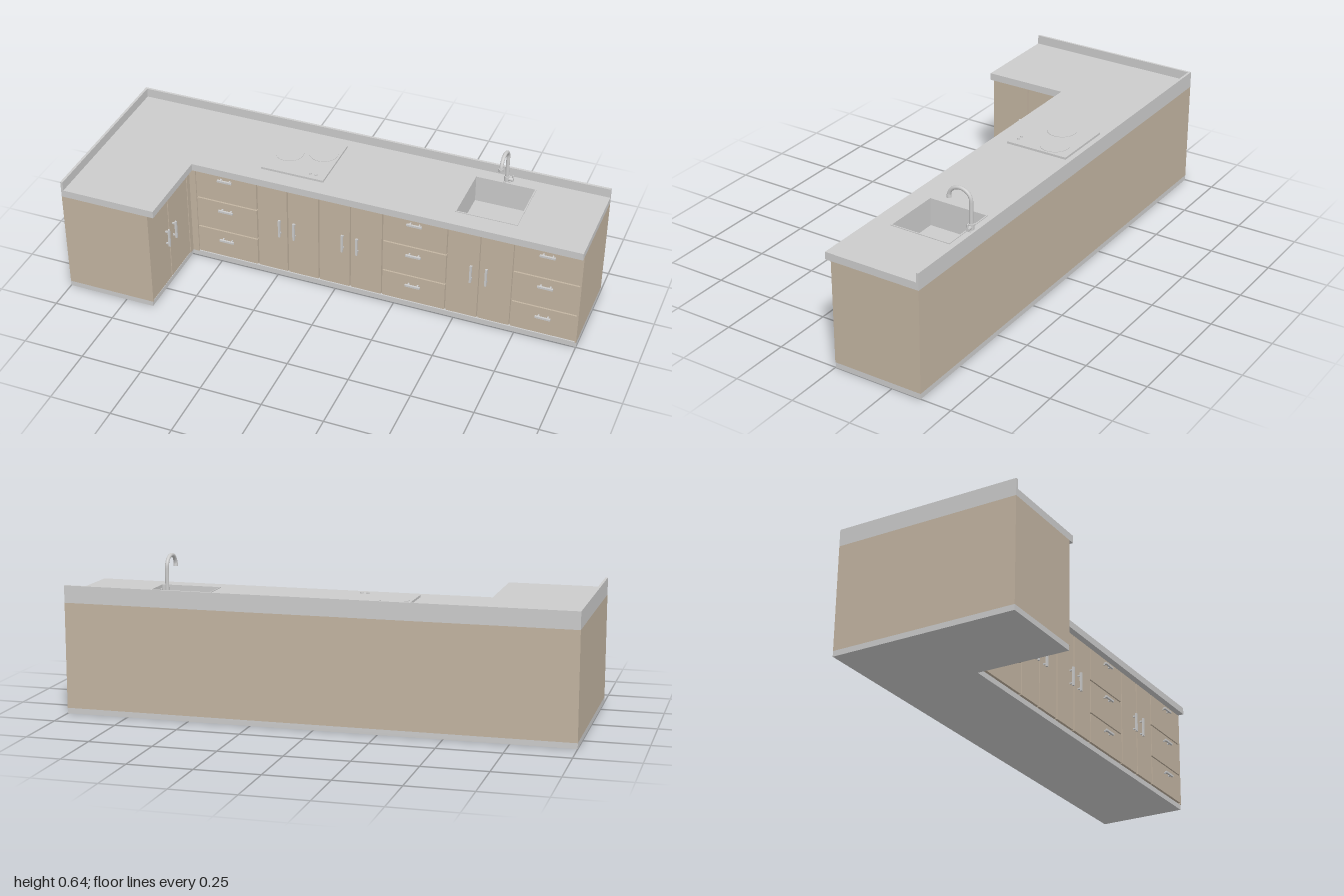
import * as THREE from 'three';

const grey = new THREE.MeshStandardMaterial({ color: 0xcccccc });
const wood = new THREE.MeshStandardMaterial({ color: 0xc2b4a1 });

function add(parent, name, geometry, material = grey) {
  const mesh = new THREE.Mesh(geometry, material);
  mesh.name = name;
  parent.add(mesh);
  return mesh;
}

// Box given by its limits on each axis
function box(parent, name, [x0, x1], [y0, y1], [z0, z1], material) {
  const mesh = add(parent, name, new THREE.BoxGeometry(x1 - x0, y1 - y0, z1 - z0), material);
  mesh.position.set((x0 + x1) / 2, (y0 + y1) / 2, (z0 + z1) / 2);
  return mesh;
}

function cylinder(parent, name, radius, height, x, y, z, segments = 32) {
  const mesh = add(parent, name, new THREE.CylinderGeometry(radius, radius, height, segments));
  mesh.position.set(x, y, z);
  return mesh;
}

const sink = { x0: 0.47, x1: 0.72, z0: -0.31, z1: -0.055 };

// L-shaped slab; legX and frontZ are the inner faces of the two runs
function lSlab(parent, name, legX, frontZ, y0, y1, material, withHole) {
  const toPoints = list => list.map(([x, z]) => new THREE.Vector2(x, -z));
  const shape = new THREE.Shape(toPoints([
    [-1, -0.373], [-1, 0.373], [legX, 0.373], [legX, frontZ], [1, frontZ], [1, -0.373],
  ]));
  if (withHole) {
    const { x0, x1, z0, z1 } = sink;
    shape.holes.push(new THREE.Path(toPoints([[x0, z0], [x1, z0], [x1, z1], [x0, z1]])));
  }
  const geometry = new THREE.ExtrudeGeometry(shape, { depth: y1 - y0, bevelEnabled: false });
  geometry.rotateX(-Math.PI / 2);
  add(parent, name, geometry, material).position.y = y0;
}

// Bar handle on two posts, facing +z from its origin
function handle(parent, x, y, length, vertical) {
  const group = new THREE.Group();
  group.name = 'handle';
  const half = length / 2;
  box(group, 'handleBar', [-half, half], [-0.004, 0.004], [0.011, 0.019]);
  for (const side of [-1, 1]) {
    const px = side * (half - 0.012);
    box(group, 'handlePost', [px - 0.003, px + 0.003], [-0.003, 0.003], [0, 0.012]);
  }
  group.position.set(x, y, 0);
  if (vertical) group.rotation.z = Math.PI / 2;
  parent.add(group);
}

const GAP = 0.003;
const BOTTOM = 0.026;
const TOP = 0.44;

function panel(parent, name, x0, x1, y0, y1) {
  box(parent, name, [x0 + GAP, x1 - GAP], [y0 + GAP, y1 - GAP], [-0.014, 0], wood);
}

// Two doors with handles beside their meeting edge
function doorPair(parent, x0, mid, x1) {
  panel(parent, 'leftHandDoor', x0, mid, BOTTOM, TOP);
  panel(parent, 'rightHandDoor', mid, x1, BOTTOM, TOP);
  for (const side of [-1, 1]) handle(parent, mid + side * 0.031, 0.245, 0.08, true);
}

function drawerStack(parent, x0, x1) {
  const levels = [BOTTOM, 0.154, 0.297, TOP];
  const handleHeights = [0.115, 0.262, 0.41];
  handleHeights.forEach((y, i) => {
    panel(parent, 'drawerFront', x0, x1, levels[i], levels[i + 1]);
    handle(parent, (x0 + x1) / 2, y, 0.062, false);
  });
}

export function createModel() {
  const model = new THREE.Group();
  model.name = 'kitchenCounter';

  // Plinth, carcass and worktop
  lSlab(model, 'plinth', -0.633, -0.003, 0, 0.022, grey, false);
  lSlab(model, 'carcass', -0.645, -0.014, 0.022, TOP, wood, true);
  lSlab(model, 'worktop', -0.604, 0.024, TOP, 0.47, grey, true);

  // End panels closing the two runs, and the corner filler
  box(model, 'rightEndPanel', [0.994, 1], [0.022, TOP], [-0.373, 0], wood);
  box(model, 'legEndPanel', [-1, -0.63], [0.022, TOP], [0.367, 0.373], wood);
  box(model, 'cornerFillerBack', [-0.65, -0.603], [0.022, TOP], [-0.014, 0], wood);
  box(model, 'cornerFillerLeg', [-0.645, -0.63], [0.022, TOP], [-0.014, 0.024], wood);

  // Upstand along the two walls
  box(model, 'backUpstand', [-1, 1], [0.47, 0.508], [-0.373, -0.363]);
  box(model, 'sideUpstand', [-1, -0.99], [0.47, 0.508], [-0.363, 0.373]);

  // Fronts of the long run
  const longRun = new THREE.Group();
  longRun.name = 'longRunFronts';
  drawerStack(longRun, -0.603, -0.335);
  doorPair(longRun, -0.335, -0.204, -0.07);
  doorPair(longRun, -0.07, 0.064, 0.198);
  drawerStack(longRun, 0.198, 0.464);
  doorPair(longRun, 0.464, 0.597, 0.73);
  drawerStack(longRun, 0.73, 0.997);
  model.add(longRun);

  // Fronts of the short leg, turned to face +x
  const shortRun = new THREE.Group();
  shortRun.name = 'shortLegFronts';
  doorPair(shortRun, -0.37, -0.201, -0.027);
  shortRun.rotation.y = Math.PI / 2;
  shortRun.position.x = -0.63;
  model.add(shortRun);

  // Sink basin and its thin rim
  const { x0, x1, z0, z1 } = sink;
  const t = 0.005, floor = 0.36, rim = 0.473;
  const basin = new THREE.Group();
  basin.name = 'sink';
  box(basin, 'basinFloor', [x0, x1], [floor - t, floor], [z0, z1]);
  box(basin, 'basinLeftWall', [x1 - t, x1], [floor, rim], [z0, z1]);
  box(basin, 'basinRightWall', [x0, x0 + t], [floor, rim], [z0, z1]);
  box(basin, 'basinBackWall', [x0 + t, x1 - t], [floor, rim], [z0, z0 + t]);
  box(basin, 'basinFrontWall', [x0 + t, x1 - t], [floor, rim], [z1 - t, z1]);
  cylinder(basin, 'drain', 0.018, 0.003, (x0 + x1) / 2, floor + 0.001, (z0 + z1) / 2);
  model.add(basin);

  // Swan-neck tap
  const tap = new THREE.Group();
  tap.name = 'tap';
  const neck = new THREE.CurvePath();
  const at = (y, z) => new THREE.Vector3(0, y, z);
  neck.add(new THREE.LineCurve3(at(0.47, -0.32), at(0.587, -0.32)));
  const arc = [];
  for (let i = 0; i <= 16; i++) {
    const a = Math.PI * 1.03 * i / 16;
    arc.push(at(0.587 + 0.042 * Math.sin(a), -0.273 - 0.047 * Math.cos(a)));
  }
  neck.add(new THREE.CatmullRomCurve3(arc));
  add(tap, 'spout', new THREE.TubeGeometry(neck, 64, 0.0075, 16));
  const nozzle = cylinder(tap, 'nozzle', 0.009, 0.014, 0, 0.585, -0.225, 20);
  nozzle.rotation.x = 0.12;
  cylinder(tap, 'tapFoot', 0.015, 0.004, 0, 0.473, -0.32);
  cylinder(tap, 'tapBody', 0.011, 0.024, 0, 0.486, -0.32);
  const valve = cylinder(tap, 'valve', 0.008, 0.026, 0.014, 0.486, -0.32, 20);
  valve.rotation.z = Math.PI / 2;
  cylinder(tap, 'lever', 0.003, 0.02, 0.024, 0.496, -0.32, 12);
  tap.position.x = 0.595;
  model.add(tap);

  // Hob with two cooking zones and two knobs
  const hob = new THREE.Group();
  hob.name = 'hob';
  box(hob, 'hobPlate', [-0.336, -0.071], [0.47, 0.479], [-0.313, -0.048]);
  cylinder(hob, 'cookingZone', 0.058, 0.003, -0.267, 0.4795, -0.18, 48);
  cylinder(hob, 'cookingZone', 0.058, 0.003, -0.138, 0.4795, -0.225, 48);
  for (const x of [-0.135, -0.112]) cylinder(hob, 'knob', 0.006, 0.006, x, 0.481, -0.075, 20);
  model.add(hob);

  return model;
}
